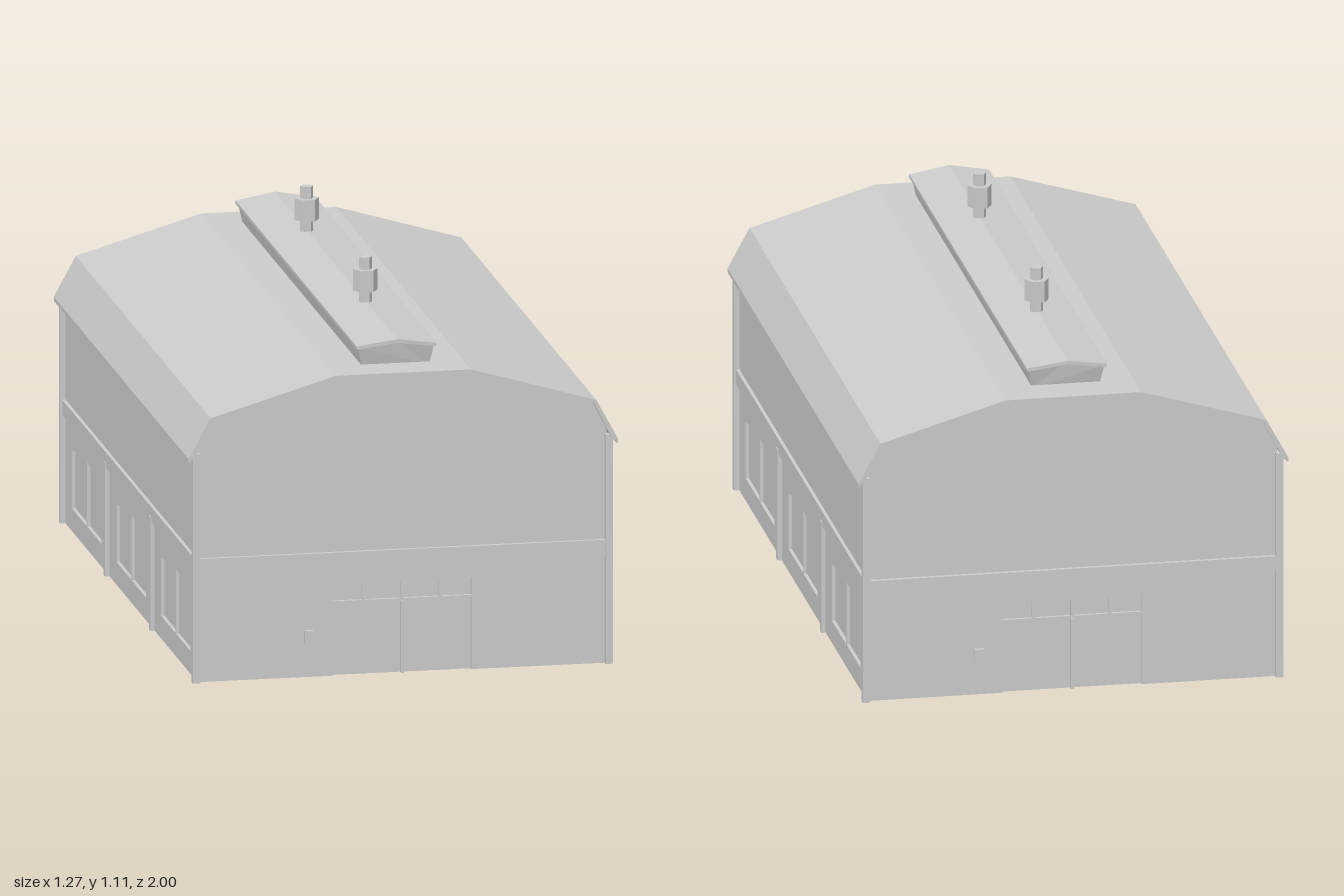
import * as THREE from 'three';

const material = new THREE.MeshStandardMaterial({ color: 0xcccccc, flatShading: true });

function add(parent, name, geometry, x = 0, y = 0, z = 0) {
  const mesh = new THREE.Mesh(geometry, material);
  mesh.name = name;
  mesh.position.set(x, y, z);
  parent.add(mesh);
  return mesh;
}

// Box given by its limits on each axis
function box(parent, name, [x0, x1], [y0, y1], [z0, z1]) {
  return add(parent, name, new THREE.BoxGeometry(x1 - x0, y1 - y0, z1 - z0),
    (x0 + x1) / 2, (y0 + y1) / 2, (z0 + z1) / 2);
}

const polygon = (points) => new THREE.Shape(points.map(([x, y]) => new THREE.Vector2(x, y)));
// Mirrors a right-hand profile so that it closes across x = 0
const mirrored = (half) => [...half, ...half.map(([x, y]) => [-x, y]).reverse()];
const extrude = (shape, depth) =>
  new THREE.ExtrudeGeometry(shape, { depth, bevelEnabled: false, curveSegments: 6 });
const rectangle = (x0, x1, y0, y1) => polygon([[x0, y0], [x1, y0], [x1, y1], [x0, y1]]);

const barnProfile = (w) => mirrored([[w, 0], [w, 0.70], [0.562, 0.784], [0.2, 0.893]]);

// End wall with recessed doors, transom lights and a small control box
function createEnd() {
  const end = new THREE.Group();
  end.name = 'endFacade';
  const outline = [[0.605, 0], [0.605, 0.70], [0.562, 0.784], [0.2, 0.893],
    [-0.2, 0.893], [-0.562, 0.784], [-0.605, 0.70], [-0.605, 0],
    [-0.205, 0], [-0.205, 0.215], [-0.004, 0.215], [-0.004, 0],
    [0.004, 0], [0.004, 0.215], [0.205, 0.215], [0.205, 0]];
  const wall = polygon(outline);
  for (const [a, b] of [[-0.205, -0.118], [-0.11, -0.004], [0.004, 0.108], [0.116, 0.205]]) {
    wall.holes.push(rectangle(a, b, 0.222, 0.274));
  }
  add(end, 'endWall', extrude(wall, 0.01), 0, 0, 0.97);
  box(end, 'endBelt', [-0.6, 0.6], [0.325, 0.37], [0.975, 0.992]);
  box(end, 'doorDivider', [-0.004, 0.004], [0, 0.215], [0.975, 0.986]);
  box(end, 'controlBox', [-0.29, -0.262], [0.103, 0.14], [0.975, 0.992]);
  return end;
}

// Side wall, facing +z until turned; three bays with paired arched windows
function createSide() {
  const side = new THREE.Group();
  side.name = 'sideFacade';
  const wall = rectangle(-0.978, 0.978, 0, 0.70);
  for (const c of [-0.66, 0, 0.66]) {
    for (const s of [-1, 1]) {
      const inner = c + s * 0.004, outer = c + s * 0.22;
      const pane = new THREE.Path();
      pane.moveTo(inner, 0.068);
      pane.lineTo(outer, 0.068);
      pane.lineTo(outer, 0.24);
      pane.quadraticCurveTo(c + s * 0.11, 0.26, inner, 0.26);
      pane.closePath();
      wall.holes.push(pane);
    }
  }
  add(side, 'sideWall', extrude(wall, 0.01), 0, 0, 0.595);
  box(side, 'sideBelt', [-0.976, 0.976], [0.325, 0.37], [0.6, 0.615]);
  for (const x of [-0.335, 0.335]) {
    box(side, 'bayPost', [x - 0.011, x + 0.011], [0, 0.34], [0.6, 0.618]);
  }
  return side;
}

// Long raised ridge housing with flared walls and its own pitched roof
function createMonitor() {
  const monitor = new THREE.Group();
  monitor.name = 'ridgeMonitor';
  const body = extrude(polygon(mirrored([[0.1, 0.89], [0.112, 0.955], [0, 0.972]])), 2);
  body.translate(0, 0, -1);
  const p = body.attributes.position;
  for (let i = 0; i < p.count; i++) {
    const flare = Math.min(1, (p.getY(i) - 0.89) / 0.065);
    p.setZ(i, Math.sign(p.getZ(i)) * (0.878 + 0.017 * flare));
  }
  body.computeVertexNormals();
  add(monitor, 'monitorWalls', body);

  const cap = extrude(polygon([[-0.118, 0.95], [-0.11, 0.95], [0, 0.967], [0.11, 0.95],
    [0.118, 0.95], [0.118, 0.959], [0, 0.978], [-0.118, 0.959]]), 1.8);
  cap.translate(0, 0, -0.9);
  const q = cap.attributes.position;
  for (let i = 0; i < q.count; i++) {
    // Ends bow out slightly towards the ridge
    q.setZ(i, q.getZ(i) + Math.sign(q.getZ(i)) * 0.008 * (1 - Math.abs(q.getX(i)) / 0.118));
  }
  cap.computeVertexNormals();
  add(monitor, 'monitorRoof', cap);
  return monitor;
}

function createVent(z) {
  const vent = new THREE.Group();
  vent.name = 'roofVent';
  const hexagon = (r, h) => new THREE.CylinderGeometry(r, r, h, 6).rotateY(Math.PI / 6);
  add(vent, 'ventPipe', hexagon(0.019, 0.145), 0, 1.0375, 0);
  add(vent, 'ventHood', hexagon(0.036, 0.064), 0, 1.042, 0);
  vent.position.z = z;
  return vent;
}

export function createModel() {
  const model = new THREE.Group();
  model.name = 'barnHall';

  // Solid core whose faces form the recessed doors and panes
  add(model, 'core', extrude(polygon(barnProfile(0.595)), 1.94), 0, 0, -0.97);

  // Opposite walls are half-turn copies
  for (const turn of [0, Math.PI]) {
    const end = createEnd();
    end.rotation.y = turn;
    const side = createSide();
    side.rotation.y = turn + Math.PI / 2;
    model.add(end, side);
  }

  // Corner posts
  for (const sx of [-1, 1]) {
    for (const sz of [-1, 1]) {
      add(model, 'cornerPost', new THREE.BoxGeometry(0.022, 0.685, 0.022),
        sx * 0.61, 0.3425, sz * 0.985);
    }
  }

  // Gambrel roof shell with downturned eaves
  const outer = [[0.2, 0.9], [0.57, 0.791], [0.635, 0.672], [0.635, 0.66], [0.63, 0.66]];
  const inner = [[0.628, 0.67], [0.62, 0.668], [0.562, 0.783], [0.2, 0.891]];
  const half = [...outer, ...inner];
  const left = (points) => points.map(([x, y]) => [-x, y]).reverse();
  const roof = polygon([...half, ...left(inner), ...left(outer)]);
  add(model, 'roof', extrude(roof, 2), 0, 0, -1);

  model.add(createMonitor(), createVent(0.435), createVent(-0.435));
  return model;
}
